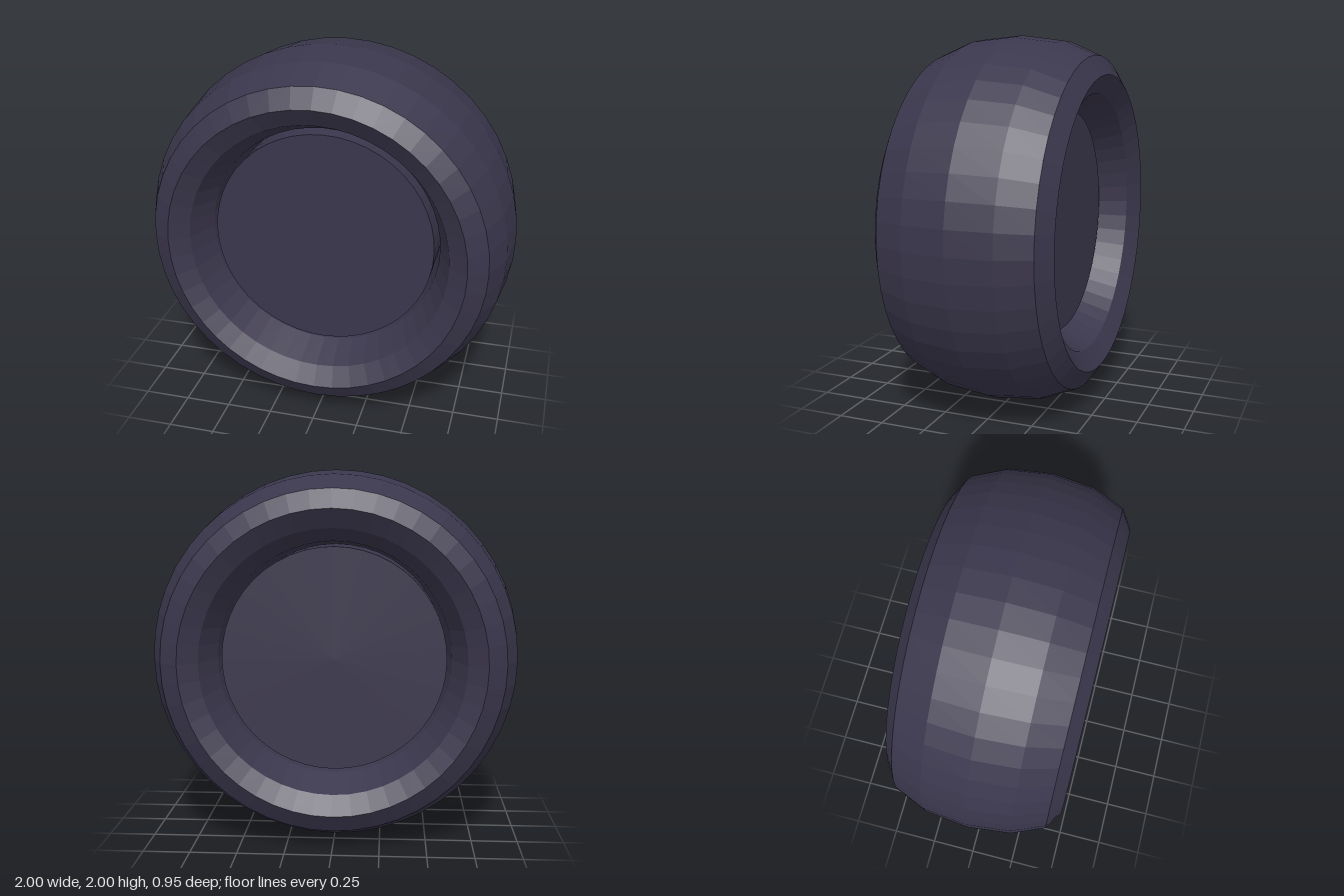
import * as THREE from 'three';

export function createModel() {
  const model = new THREE.Group();
  model.name = 'wheel';
  const rubber = new THREE.MeshStandardMaterial({ color: 0x3a364c, flatShading: true });

  // Tyre: a ring stretched along its axle
  const tyre = new THREE.Mesh(new THREE.TorusGeometry(0.8, 0.2, 12, 48), rubber);
  tyre.name = 'tyre';
  tyre.scale.z = 2.375;

  // Hub: a plain drum that closes the hole, recessed on both sides
  const hub = new THREE.Mesh(new THREE.CylinderGeometry(0.6, 0.6, 0.53, 48), rubber);
  hub.name = 'hub';
  hub.rotation.x = Math.PI / 2;

  model.add(tyre, hub);
  for (const part of model.children) part.position.y = 1;
  return model;
}
